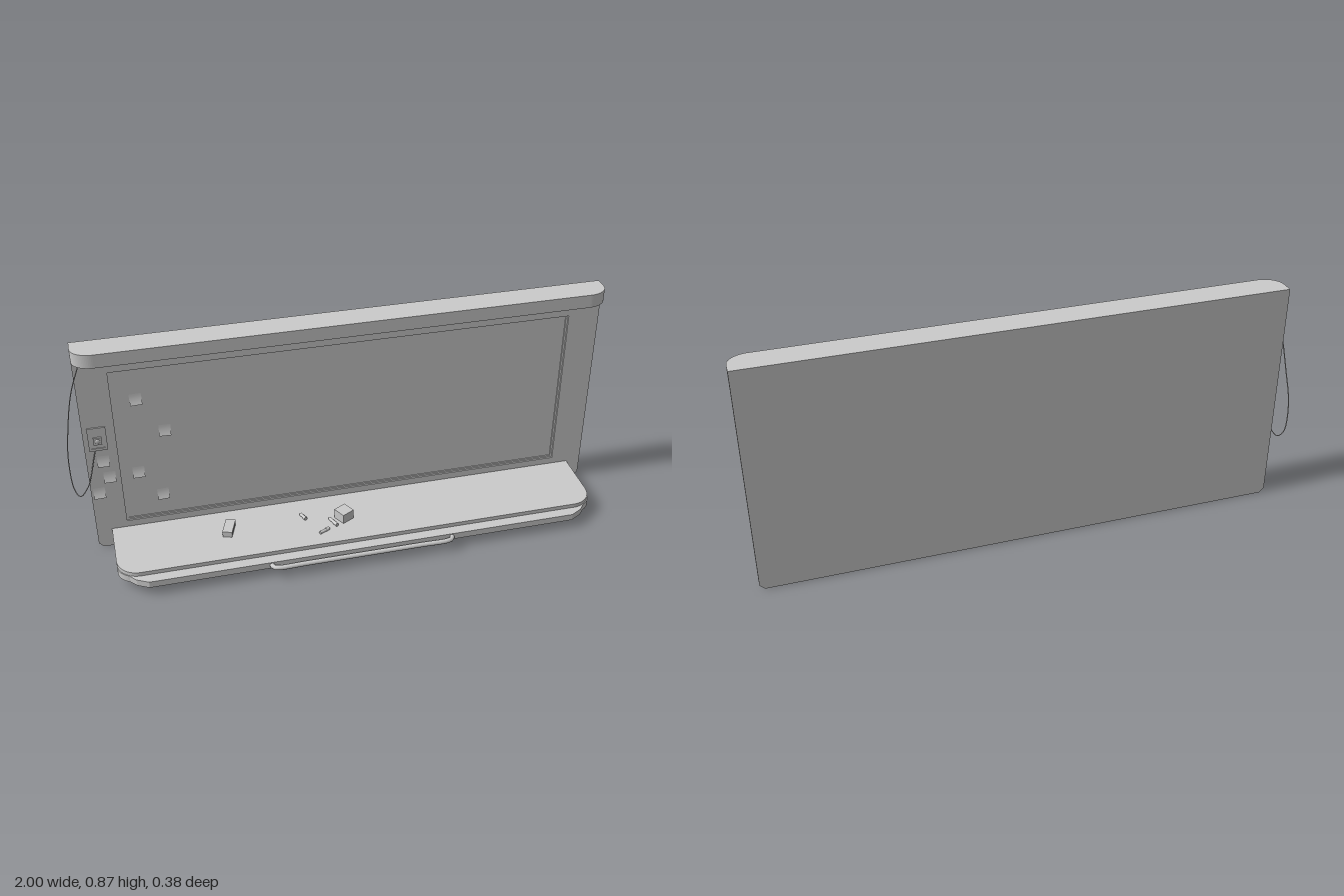
import * as THREE from 'three';

const grey = new THREE.MeshStandardMaterial({ color: 0xcccccc });
const greyThin = new THREE.MeshStandardMaterial({ color: 0xcccccc, side: THREE.DoubleSide });
const CX = 0.0325; // the board's middle

function add(parent, name, geometry, x = 0, y = 0, z = 0, material = grey) {
  const mesh = new THREE.Mesh(geometry, material);
  mesh.name = name;
  mesh.position.set(x, y, z);
  parent.add(mesh);
  return mesh;
}

function polygon(points) {
  return new THREE.Shape(points.map(([x, y]) => new THREE.Vector2(x, y)));
}

function rectPoints(x0, x1, y0, y1) {
  return [[x0, y0], [x1, y0], [x1, y1], [x0, y1]];
}

// Outline seen from above with two rounded front corners (shape y is -z)
function roundFront(halfWidth, back, front, rx, rz) {
  const s = new THREE.Shape();
  s.moveTo(halfWidth, -back);
  s.lineTo(-halfWidth, -back);
  s.lineTo(-halfWidth, -(front - rz));
  s.absellipse(-halfWidth + rx, -(front - rz), rx, rz, Math.PI, Math.PI * 1.5, false);
  s.absellipse(halfWidth - rx, -(front - rz), rx, rz, Math.PI * 1.5, Math.PI * 2, false);
  s.closePath();
  return s;
}

// Horizontal slab between two heights
function slab(parent, name, shape, y0, y1) {
  const g = new THREE.ExtrudeGeometry(shape, { depth: y1 - y0, bevelEnabled: false, curveSegments: 10 });
  g.rotateX(-Math.PI / 2);
  return add(parent, name, g, CX, y0, 0);
}

// Paper note that curls away from the board towards its lower edge
function noteGeometry(size) {
  const g = new THREE.PlaneGeometry(size, size, 1, 5);
  const p = g.attributes.position;
  for (let i = 0; i < p.count; i++) {
    const t = 0.5 - p.getY(i) / size;
    p.setZ(i, 0.001 + 0.009 * t * t);
  }
  g.computeVertexNormals();
  return g;
}

export function createModel() {
  const model = new THREE.Group();
  model.name = 'whiteboard';

  // Board: back plate plus a front frame that leaves the writing panel recessed
  const x0 = -0.935, x1 = 1, c = 0.018;
  const outline = [[x0 + c, 0], [x1 - c, 0], [x1, c], [x1, 0.865], [x0, 0.865], [x0, c]];
  const flat = (depth) => ({ depth, bevelEnabled: false });
  add(model, 'backPanel', new THREE.ExtrudeGeometry(polygon(outline), flat(0.025)), 0, 0, -0.19);
  const frame = polygon(outline);
  frame.holes.push(polygon(rectPoints(-0.82, 0.88, 0.105, 0.75)));
  add(model, 'frame', new THREE.ExtrudeGeometry(frame, flat(0.01)), 0, 0, -0.165);

  // Narrow trim round the writing panel
  const trim = polygon(rectPoints(-0.82, 0.88, 0.105, 0.75));
  trim.holes.push(polygon(rectPoints(-0.812, 0.872, 0.113, 0.742)));
  add(model, 'panelTrim', new THREE.ExtrudeGeometry(trim, flat(0.004)), 0, 0, -0.165);

  // Hood along the top
  slab(model, 'hood', roundFront(0.9675, -0.19, -0.085, 0.075, 0.06), 0.815, 0.866);

  // Shelf with a deeper lip, a drip edge and a tapered front tray
  slab(model, 'shelf', roundFront(0.912, -0.155, 0.122, 0.08, 0.085), 0.06, 0.078);
  slab(model, 'shelfLip', roundFront(0.912, 0.053, 0.122, 0.08, 0.069), 0.034, 0.062);
  slab(model, 'dripEdge', roundFront(0.86, 0.1, 0.118, 0.02, 0.015), 0.026, 0.036);
  slab(model, 'frontTray', polygon([[-0.872, -0.115], [-0.85, -0.14], [-0.808, -0.163],
    [0.808, -0.163], [0.85, -0.14], [0.872, -0.115]]), 0.036, 0.062);

  // Pull bar on the tray front
  const bar = new THREE.CatmullRomCurve3([[-0.33, 0.158], [-0.328, 0.175], [-0.31, 0.183], [-0.2, 0.183],
    [0.225, 0.183], [0.335, 0.183], [0.353, 0.175], [0.355, 0.158]]
    .map(([x, z]) => new THREE.Vector3(x, 0.05, z)));
  add(model, 'pullBar', new THREE.TubeGeometry(bar, 60, 0.009, 10));

  // Wall control box with its button
  const control = new THREE.Group();
  control.name = 'controlBox';
  control.position.set(-0.885, 0.487, -0.155);
  model.add(control);
  const bezel = polygon(rectPoints(-0.033, 0.033, -0.048, 0.048));
  bezel.holes.push(polygon(rectPoints(-0.025, 0.025, -0.038, 0.038)));
  add(control, 'bezel', new THREE.ExtrudeGeometry(bezel, flat(0.005)));
  add(control, 'face', new THREE.BoxGeometry(0.05, 0.076, 0.002), 0, 0, 0.001);
  add(control, 'buttonPlate', new THREE.BoxGeometry(0.03, 0.03, 0.008), 0, -0.007, 0.004);
  const button = add(control, 'button', new THREE.SphereGeometry(0.01, 14, 8), 0, -0.007, 0.007);
  button.scale.z = 0.4;

  // Loose cable from the hood to the control box
  const cable = new THREE.CatmullRomCurve3([[-0.91, 0.82, -0.115], [-0.95, 0.7, -0.13], [-0.983, 0.52, -0.155],
    [-0.997, 0.38, -0.184], [-0.992, 0.26, -0.183], [-0.976, 0.236, -0.168], [-0.945, 0.28, -0.152],
    [-0.925, 0.34, -0.138], [-0.907, 0.41, -0.143], [-0.895, 0.445, -0.154]]
    .map((p) => new THREE.Vector3(...p)));
  add(model, 'cable', new THREE.TubeGeometry(cable, 70, 0.002, 6));

  // Paper notes on the panel and on the frame
  const note = noteGeometry(0.043);
  [[-0.735, 0.626], [-0.645, 0.482], [-0.755, 0.315], [-0.675, 0.202],
    [-0.875, 0.39], [-0.86, 0.318], [-0.905, 0.252]].forEach(([x, y], i) => {
    const mesh = add(model, 'note', note, x, y, x > -0.82 ? -0.165 : -0.155, greyThin);
    mesh.rotation.z = [0.04, -0.03, 0][i % 3];
  });

  // Eraser: felt pad under a block
  const eraser = new THREE.Group();
  eraser.name = 'eraser';
  eraser.position.set(-0.455, 0.078, -0.035);
  eraser.rotation.y = -0.33;
  model.add(eraser);
  add(eraser, 'felt', new THREE.BoxGeometry(0.034, 0.011, 0.072), 0, 0.0055, 0);
  add(eraser, 'grip', new THREE.BoxGeometry(0.037, 0.014, 0.076), 0, 0.018, 0);

  // Small box
  const box = add(model, 'smallBox', new THREE.BoxGeometry(0.052, 0.038, 0.052), -0.02, 0.099, -0.008);
  box.rotation.y = 0.5;

  // Marker pens: barrel and wider cap
  [[-0.17, -0.046, 0.38, 0.035], [-0.11, 0.056, 2.05, 0.043], [-0.066, 0.012, 0.38, 0.05]]
    .forEach(([x, z, angle, length]) => {
      const pen = new THREE.Group();
      pen.name = 'marker';
      pen.position.set(x, 0.085, z);
      pen.rotation.y = angle;
      model.add(pen);
      add(pen, 'barrel', new THREE.CylinderGeometry(0.006, 0.006, length * 0.65, 12).rotateX(Math.PI / 2),
        0, 0, -length * 0.175);
      add(pen, 'cap', new THREE.CylinderGeometry(0.007, 0.007, length * 0.35, 12).rotateX(Math.PI / 2),
        0, 0, length * 0.325);
    });

  return model;
}
